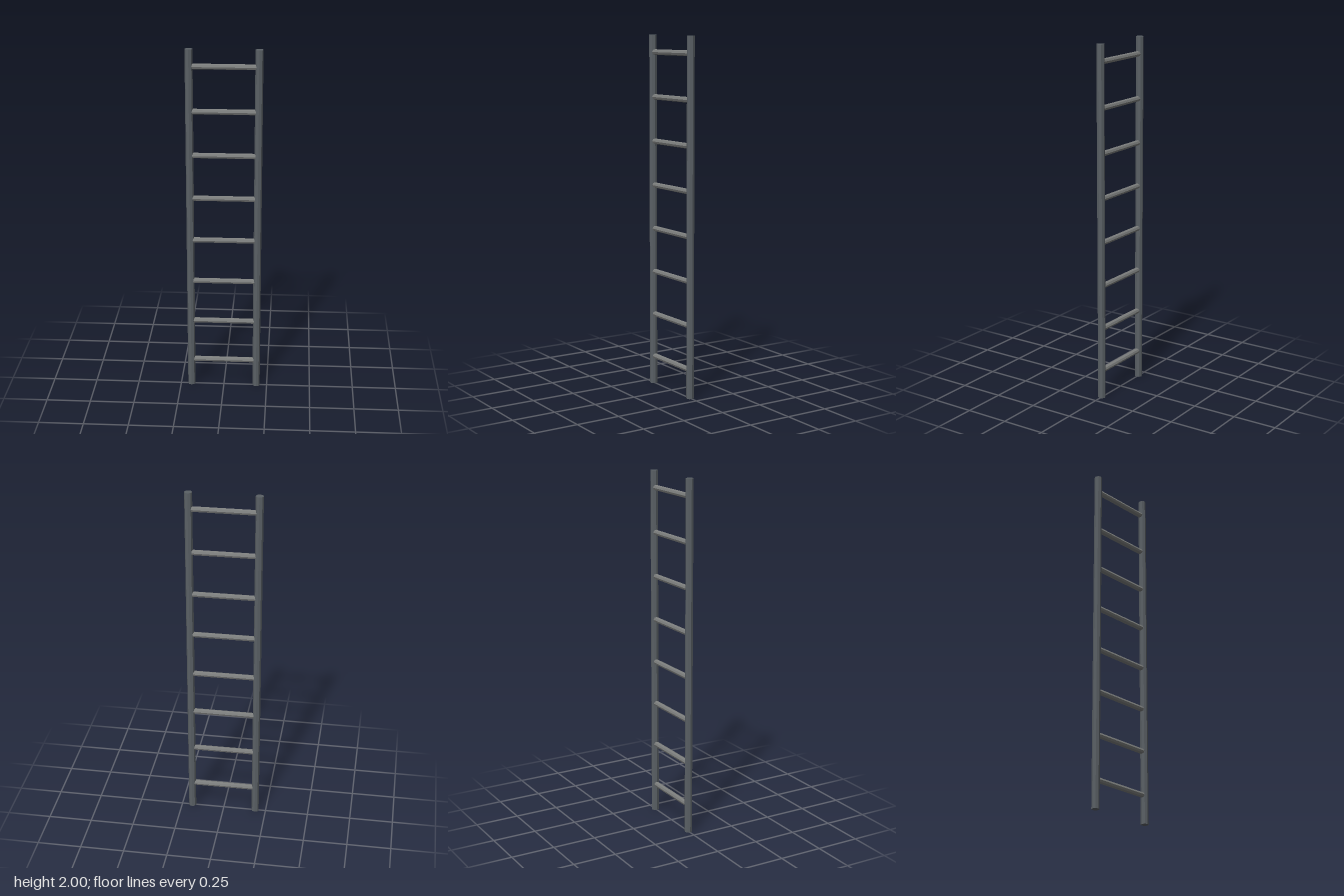
import * as THREE from 'three';

const HEIGHT = 2;
const RAIL_X = 0.188, RAIL_RADIUS = 0.0215;
const RUNG_COUNT = 8, RUNG_START = 0.162, RUNG_STEP = 0.249, RUNG_RADIUS = 0.0157;

export function createModel() {
  const ladder = new THREE.Group();
  ladder.name = 'ladder';
  const railMaterial = new THREE.MeshStandardMaterial({ color: 0x5a6065, flatShading: true });
  const rungMaterial = new THREE.MeshStandardMaterial({ color: 0x7b7d7c, flatShading: true });

  // Two upright octagonal rails
  const railGeometry = new THREE.CylinderGeometry(RAIL_RADIUS, RAIL_RADIUS, HEIGHT, 8);
  for (const side of [1, -1]) {
    const rail = new THREE.Mesh(railGeometry, railMaterial);
    rail.name = side > 0 ? 'leftRail' : 'rightRail';
    rail.position.set(side * RAIL_X, HEIGHT / 2, 0);
    ladder.add(rail);
  }

  // Evenly spaced octagonal rungs, ends buried in the rails
  const rungGeometry = new THREE.CylinderGeometry(RUNG_RADIUS, RUNG_RADIUS, RAIL_X * 2, 8);
  rungGeometry.rotateZ(Math.PI / 2);
  for (let i = 0; i < RUNG_COUNT; i++) {
    const rung = new THREE.Mesh(rungGeometry, rungMaterial);
    rung.name = `rung${i + 1}`;
    rung.position.y = RUNG_START + i * RUNG_STEP;
    ladder.add(rung);
  }
  return ladder;
}
